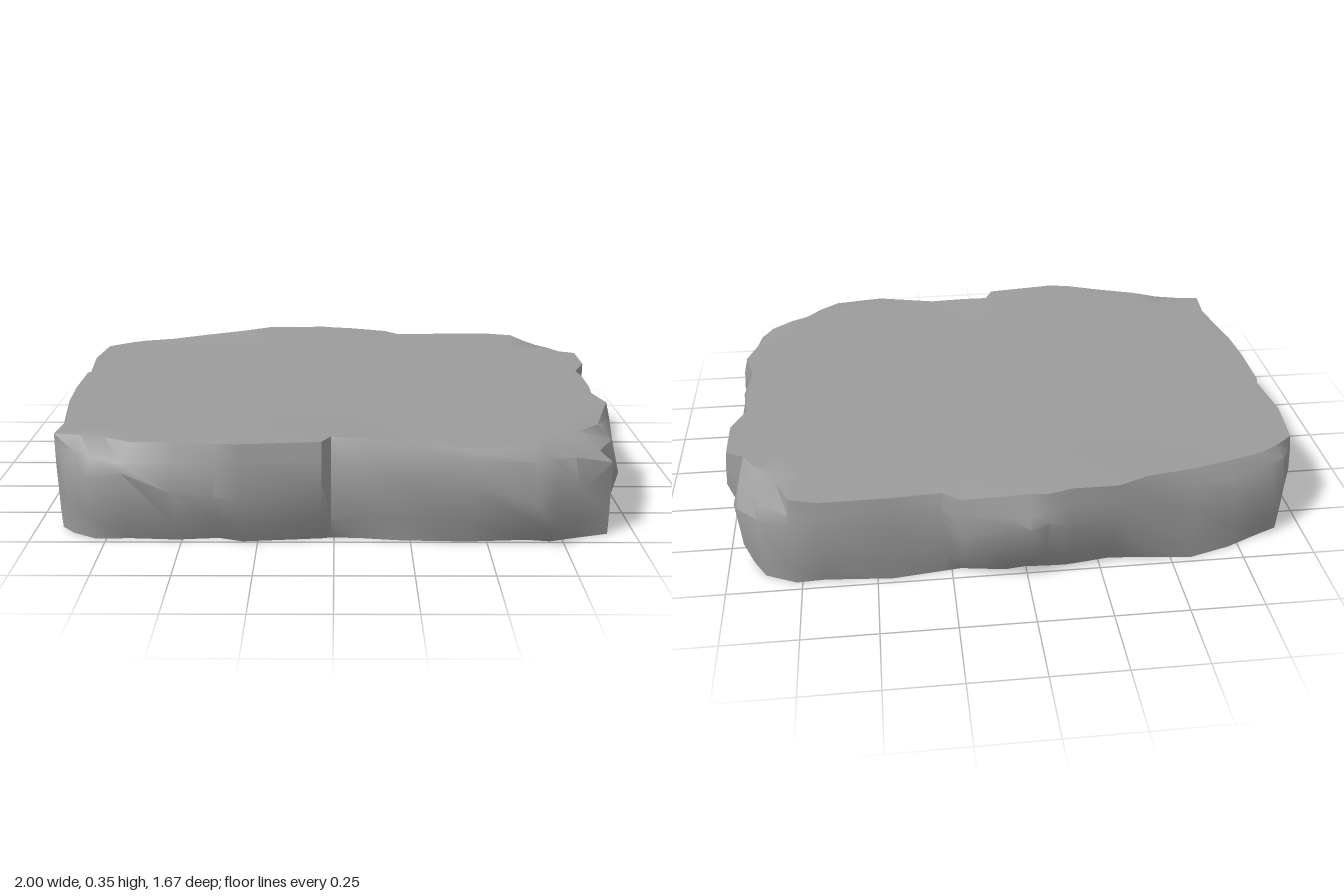
import * as THREE from 'three';
import { toCreasedNormals } from 'three/addons/utils/BufferGeometryUtils.js';

// Widest outline of the slab as x, z pairs: along the back, right, front, then left edge
const OUTLINE = [
  -0.96, -0.52, -0.92, -0.6, -0.86, -0.65, -0.72, -0.69, -0.57, -0.73, -0.4, -0.75, -0.29, -0.79,
  -0.14, -0.79, -0.06, -0.83, 0, -0.84, 0.07, -0.82, 0.22, -0.79, 0.28, -0.74, 0.45, -0.75,
  0.68, -0.75, 0.78, -0.73, 0.88, -0.67, 0.95, -0.59, 0.97, -0.52, 0.95, -0.44,
  1, -0.41, 0.99, -0.24, 0.95, -0.13, 0.97, -0.07, 0.95, 0, 0.98, 0.07, 0.95, 0.16, 0.99, 0.28,
  0.96, 0.56, 0.91, 0.68, 0.8, 0.74, 0.71, 0.81, 0.64, 0.83, 0.44, 0.8, 0.22, 0.75, 0.09, 0.77,
  -0.01, 0.74, -0.04, 0.78, -0.3, 0.8, -0.38, 0.82, -0.52, 0.78, -0.68, 0.78, -0.8, 0.75,
  -0.88, 0.69, -0.92, 0.63, -0.91, 0.5, -0.95, 0.3, -0.98, 0.25, -1, 0.1, -0.97, -0.1,
  -0.95, -0.12, -0.97, -0.33,
];
// How far the top edge is chipped back at each outline point, in hundredths
const CHIPS = [
  1, 5, 6, 5, 4, 2, 1, 1, 3, 5, 3, 1, 1, 1, 1, 2, 9, 11, 8, 2, 1, 0, 1, 2, 0, 3,
  1, 2, 8, 13, 12, 12, 8, 2, 3, 6, 4, 2, 1, 4, 4, 7, 10, 7, 0, 0, 1, 3, 4, 1, 0, 0,
];

function seeded(seed) {
  return () => {
    seed = (seed * 16807) % 2147483647;
    return seed / 2147483647;
  };
}

// The top swells slightly near the middle of the front and back edges
function topHeight(x, z) {
  const across = Math.max(0, 1 - ((x + 0.2) / 0.45) ** 2);
  return 0.334 + 0.02 * across * THREE.MathUtils.smoothstep(Math.abs(z), 0.3, 0.78);
}

function slabGeometry() {
  const random = seeded(71);
  const count = CHIPS.length;
  const rings = Array.from({ length: 8 }, () => []);

  for (let i = 0; i < count; i++) {
    const x = OUTLINE[2 * i];
    const z = OUTLINE[2 * i + 1];
    const out = new THREE.Vector2(x ** 3, (z / 0.8) ** 3).normalize();
    const inset = (d, y) => new THREE.Vector3(x - out.x * d, y, z - out.y * d);
    const chip = CHIPS[i] / 100;

    // Flat foot, cut straighter than the ragged wall above it
    const foot = new THREE.Vector3(
      THREE.MathUtils.clamp(x, -0.93, 0.93), 0, THREE.MathUtils.clamp(z, -0.73, 0.75));
    const undercut = 0.035 * random();
    foot.x -= out.x * undercut;
    foot.z -= out.y * undercut;
    const widest = inset(0, 0.16 + 0.1 * random());
    const low = foot.clone().lerp(widest, 0.35 + 0.5 * random()).setY(0.05 + 0.05 * random());
    const high = inset(chip * (0.2 + 0.3 * random()), 0.275 + 0.025 * random());
    const edge = inset(chip, 0);
    edge.y = topHeight(edge.x, edge.z);

    rings[0].push(foot);
    rings[1].push(low);
    rings[2].push(widest);
    rings[3].push(high);
    rings[4].push(edge);
    [0.9, 0.7, 0.4].forEach((s, k) => {
      rings[5 + k].push(new THREE.Vector3(edge.x * s, topHeight(edge.x * s, edge.z * s), edge.z * s));
    });
  }

  const positions = rings.flat().flatMap((p) => [p.x, p.y, p.z]);
  const bottomCentre = positions.length / 3;
  const topCentre = bottomCentre + 1;
  positions.push(0, 0, 0, 0, 0.334, 0);

  // Join the rings, then close the underside and the top
  const index = [];
  const last = (rings.length - 1) * count;
  for (let i = 0; i < count; i++) {
    const j = (i + 1) % count;
    for (let r = 0; r < rings.length - 1; r++) {
      const a = r * count + i, b = r * count + j;
      const c = a + count, d = b + count;
      index.push(a, c, d, a, d, b);
    }
    index.push(bottomCentre, i, j, last + i, topCentre, last + j);
  }

  const geometry = new THREE.BufferGeometry();
  geometry.setAttribute('position', new THREE.Float32BufferAttribute(positions, 3));
  geometry.setIndex(index);
  return toCreasedNormals(geometry, 0.75);
}

export function createModel() {
  const stone = new THREE.MeshStandardMaterial({ color: 0x9c9c9c });
  stone.name = 'stone grey';

  const slab = new THREE.Mesh(slabGeometry(), stone);
  slab.name = 'stoneSlab';

  const group = new THREE.Group();
  group.name = 'flatStone';
  group.add(slab);
  return group;
}
